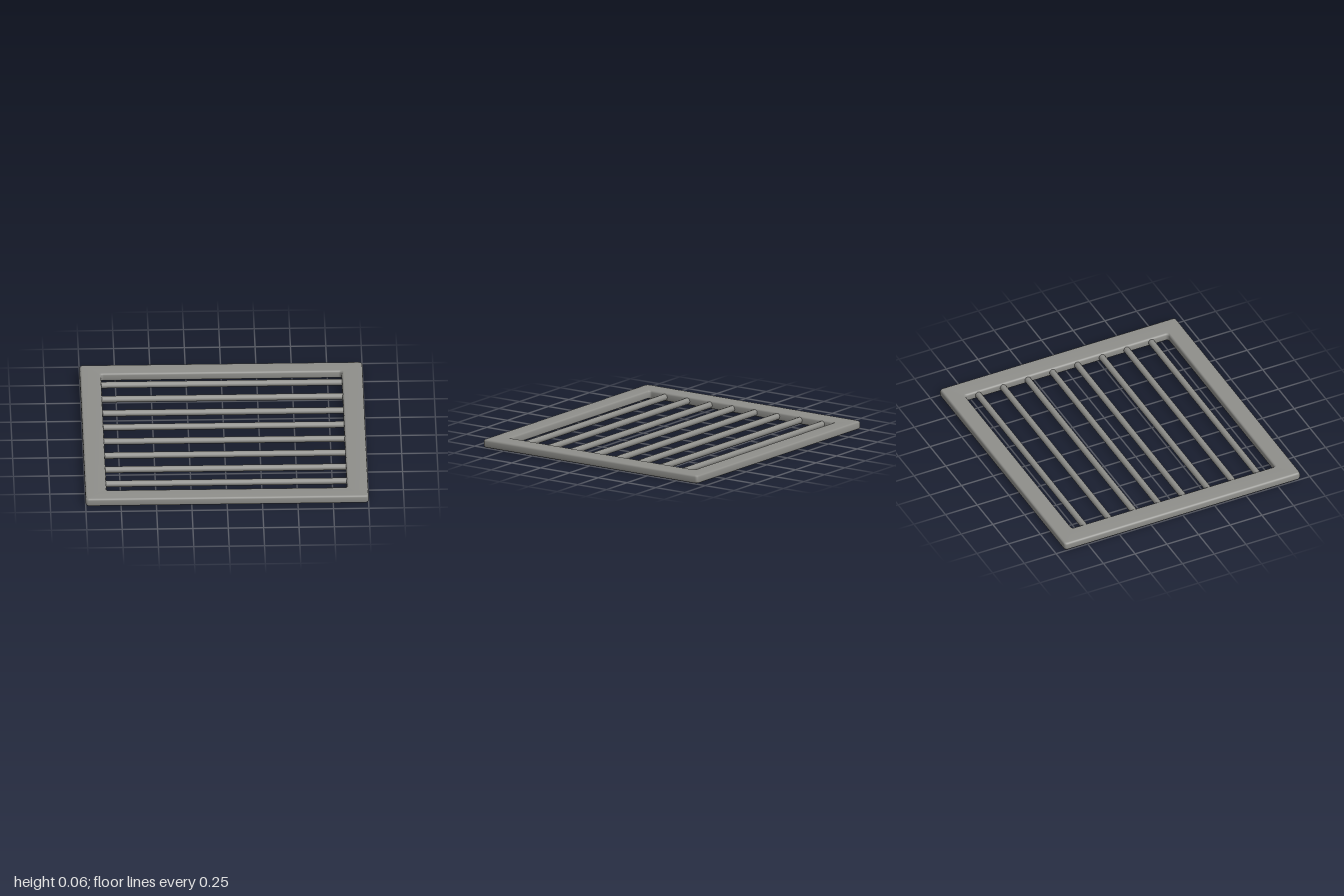
import * as THREE from 'three';

// Rounded rectangle outline as [x, z] points, running from +x towards +z
function outline(hx, hz, r, steps) {
  const pts = [];
  [[1, 1], [-1, 1], [-1, -1], [1, -1]].forEach(([sx, sz], c) => {
    for (let s = 0; s <= steps; s++) {
      const a = (c + s / steps) * Math.PI / 2;
      pts.push([sx * (hx - r) + r * Math.cos(a), sz * (hz - r) + r * Math.sin(a)]);
    }
  });
  return pts;
}

// Sweeps a closed [t, y] profile round the border; t = 0 is the outer edge, t = 1 the inner
function frameGeometry(profile) {
  const rings = profile.map(([t, y]) =>
    outline(1 - 0.15 * t, 0.93 - 0.13 * t, 0.02, 3).map(([x, z]) => [x, y, z]));
  const n = rings[0].length, m = rings.length, index = [];
  for (let i = 0; i < m; i++) {
    for (let j = 0; j < n; j++) {
      const i2 = (i + 1) % m, j2 = (j + 1) % n;
      const a = i * n + j, b = i2 * n + j, c = i2 * n + j2, d = i * n + j2;
      index.push(a, b, c, a, c, d);
    }
  }
  const geo = new THREE.BufferGeometry();
  geo.setAttribute('position', new THREE.Float32BufferAttribute(rings.flat(2), 3));
  geo.setIndex(index);
  geo.computeVertexNormals();
  return geo;
}

export function createModel() {
  const group = new THREE.Group();
  group.name = 'ventGrille';
  const metal = new THREE.MeshStandardMaterial({ color: 0x8f8f8b });
  metal.name = 'grey metal';

  // Softly bevelled border
  const frame = new THREE.Mesh(frameGeometry([
    [0, 0.014], [0, 0.046], [0.03, 0.056], [0.1, 0.06],
    [0.9, 0.06], [0.97, 0.056], [1, 0.046],
    [1, 0.014], [0.97, 0.004], [0.9, 0], [0.1, 0], [0.03, 0.004],
  ]), metal);
  frame.name = 'frame';
  group.add(frame);

  // Eight evenly spaced round bars
  const barGeo = new THREE.CylinderGeometry(0.023, 0.023, 1.73, 12).rotateZ(Math.PI / 2);
  for (let i = 0; i < 8; i++) {
    const bar = new THREE.Mesh(barGeo, metal);
    bar.name = `bar${i + 1}`;
    bar.position.set(0, 0.03, -0.697 + i * 0.195);
    group.add(bar);
  }
  return group;
}
